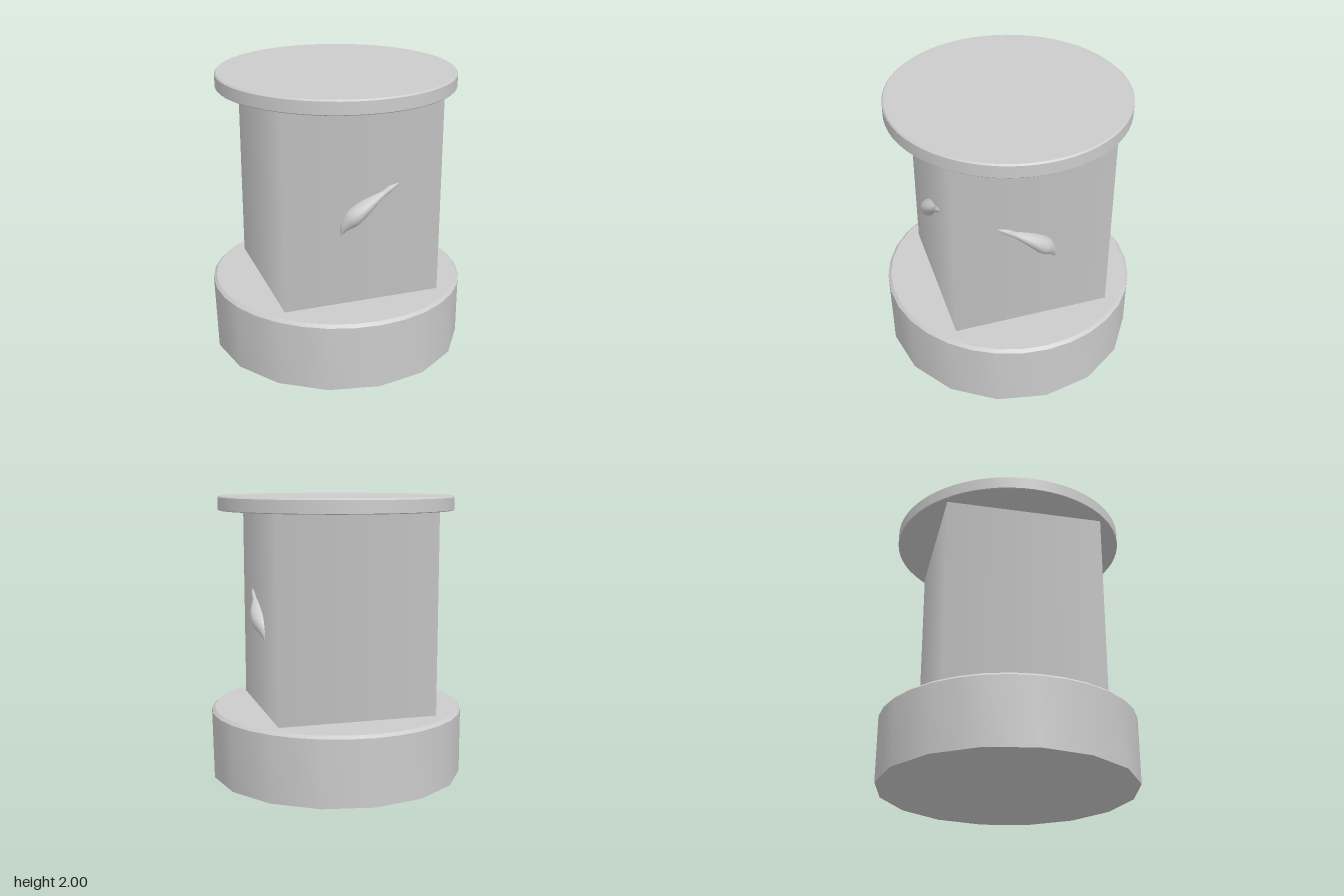
import * as THREE from 'three';
import { toCreasedNormals } from 'three/addons/utils/BufferGeometryUtils.js';

const material = new THREE.MeshStandardMaterial({ color: 0xcccccc });

function part(name, geometry) {
  const mesh = new THREE.Mesh(geometry, material);
  mesh.name = name;
  return mesh;
}

// turned solid with sharp edges between its bands
function turned(profile, segments) {
  return new THREE.LatheGeometry(profile.map(([r, y]) => new THREE.Vector2(r, y)), segments);
}

// plinth: round at the top, every second corner of the bottom edge flattened to a 16-gon
function plinthGeometry() {
  const geometry = turned([[0, 0], [0.907, 0], [0.907, 0.47], [0.885, 0.49], [0, 0.49]], 32);
  const p = geometry.attributes.position;
  const flat = Math.cos(Math.PI / 16);
  for (let i = 0; i < p.count; i++) {
    const column = Math.floor(i / 5);
    if (i % 5 === 1 && column % 2 === 1) p.setXYZ(i, p.getX(i) * flat, 0, p.getZ(i) * flat);
  }
  return toCreasedNormals(geometry, Math.PI / 6);
}

// leaf-shaped bulge: stations of [across, up, half width, height above the face]
const STATIONS = [
  [-0.16, 1.0, 0.003, 0.002], [-0.135, 1.055, 0.035, 0.03], [-0.075, 1.12, 0.062, 0.07],
  [0.0, 1.18, 0.052, 0.07], [0.08, 1.23, 0.034, 0.045], [0.135, 1.26, 0.022, 0.025],
  [0.19, 1.295, 0.02, 0.02], [0.25, 1.325, 0.003, 0.002],
];

function leafGeometry(side) {
  const spine = new THREE.CatmullRomCurve3(STATIONS.map(([u, y]) => new THREE.Vector3(u, y, 0)));
  const size = new THREE.CatmullRomCurve3(STATIONS.map(([, , w, h], i) => new THREE.Vector3(w, h, i * 0.05)));
  const rows = 28, around = 16;
  const positions = [], index = [];
  for (let i = 0; i <= rows; i++) {
    const c = spine.getPoint(i / rows), t = spine.getTangent(i / rows), s = size.getPoint(i / rows);
    for (let j = 0; j < around; j++) {
      const a = (j / around) * Math.PI * 2;
      const w = Math.cos(a) * Math.max(s.x, 0.002);
      positions.push(side * (c.x + t.y * w), c.y - t.x * w, Math.sin(a) * Math.max(s.y, 0.002));
      if (i < rows) {
        const k = (j + 1) % around;
        const [p, q, r, v] = [i * around + j, i * around + k, (i + 1) * around + j, (i + 1) * around + k];
        if (side > 0) index.push(p, q, r, q, v, r);
        else index.push(p, r, q, q, r, v);
      }
    }
  }
  const geometry = new THREE.BufferGeometry();
  geometry.setAttribute('position', new THREE.Float32BufferAttribute(positions, 3));
  geometry.setIndex(index);
  // outward check: the widest ring's top point must face away from the wall
  geometry.computeVertexNormals();
  if (geometry.attributes.normal.getZ(8 * around + around / 4) < 0) {
    geometry.setIndex(index.reverse());
    geometry.computeVertexNormals();
  }
  return geometry;
}

export function createModel() {
  const model = new THREE.Group();
  model.name = 'pedestal';

  model.add(part('plinth', plinthGeometry()));

  // four-sided shaft with its corners on the axes and softly shaded faces
  const radius = 0.795;
  const shaft = part('shaft', new THREE.CylinderGeometry(radius, radius, 1.42, 4));
  shaft.position.y = 1.2;
  model.add(shaft);

  // round cap with slim bevels
  const cap = turned([[0, 1.9], [0.83, 1.9], [0.835, 1.905], [0.835, 1.99], [0.825, 2], [0, 2]], 64);
  model.add(part('cap', toCreasedNormals(cap, Math.PI / 6)));

  // mirrored leaves on the two faces of the left side
  for (const [name, side, turn] of [['frontLeaf', 1, Math.PI / 4], ['backLeaf', -1, (3 * Math.PI) / 4]]) {
    const leaf = part(name, leafGeometry(side));
    const d = radius * Math.SQRT1_2;
    leaf.rotation.y = turn;
    leaf.position.set(Math.sin(turn) * d, 0, Math.cos(turn) * d);
    model.add(leaf);
  }
  return model;
}
